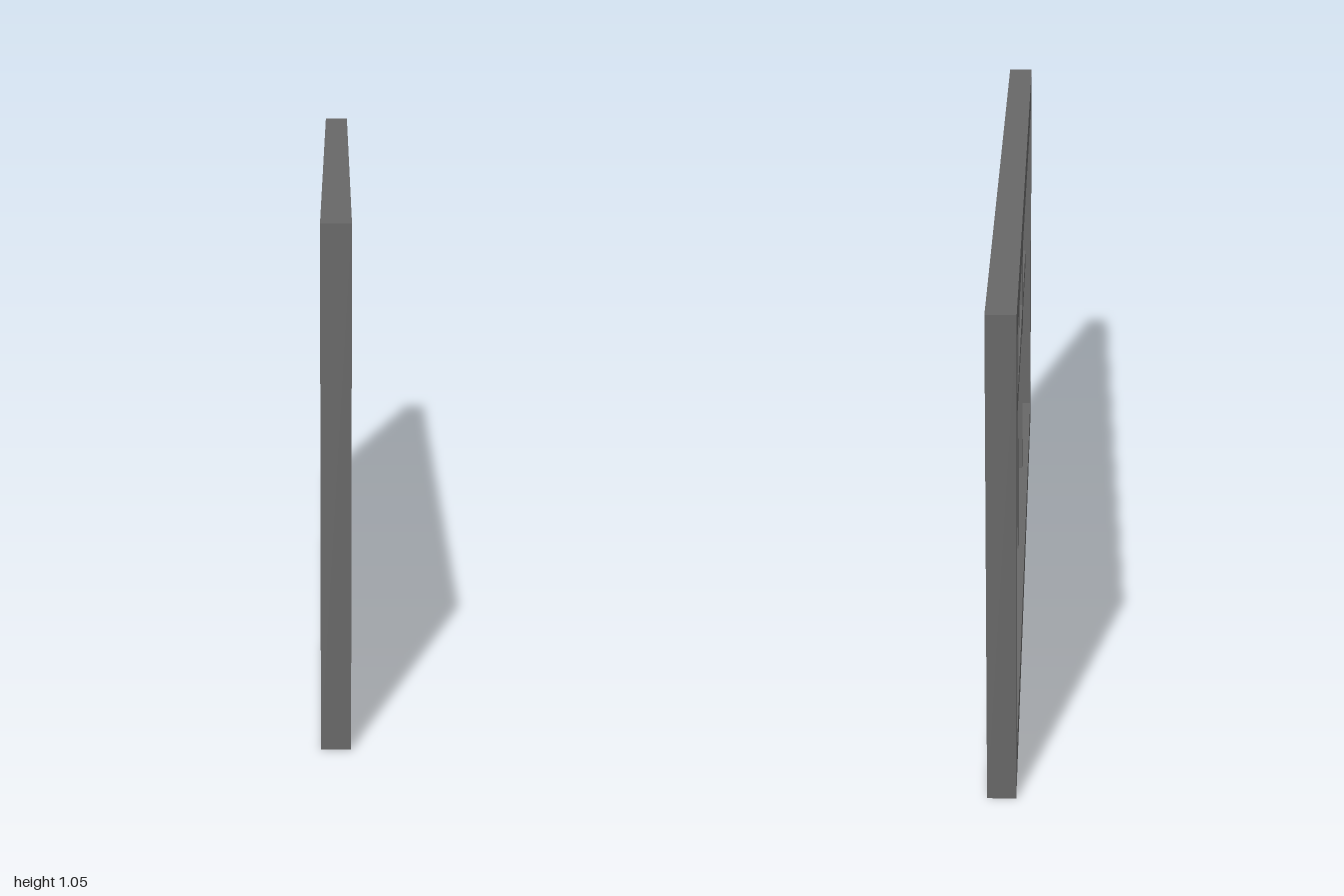
import * as THREE from 'three';

const HEIGHT = 1.055;
const FRAME_DEPTH = 0.06;
const BAR_DEPTH = 0.03;
const BAR_WIDTH = 0.045;
const PANE_DEPTH = 0.006;
// Opening inside the frame
const Z_IN = 0.928, Y_LOW = 0.077, Y_HIGH = 0.979;
const Y_BAR = 0.526;
const Z_BARS = [0.49, 0.004, -0.472];

export function createModel() {
  const frameGrey = new THREE.MeshStandardMaterial({ color: 0x686868 });
  frameGrey.name = 'frameGrey';
  const paneGrey = new THREE.MeshStandardMaterial({ color: 0xbdbdbd });
  paneGrey.name = 'paneGrey';

  const model = new THREE.Group();
  model.name = 'windowPanel';

  // Box spanning a y and z range, centred on x = 0
  function slab(name, depth, y0, y1, z0, z1, material, parent) {
    const mesh = new THREE.Mesh(new THREE.BoxGeometry(depth, y1 - y0, z1 - z0), material);
    mesh.position.set(0, (y0 + y1) / 2, (z0 + z1) / 2);
    mesh.name = name;
    parent.add(mesh);
  }

  const rectangle = (path, w, y0, y1) =>
    path.moveTo(-w, y0).lineTo(w, y0).lineTo(w, y1).lineTo(-w, y1).closePath();

  // Outer frame: rectangle with one opening, turned to face sideways
  const outline = new THREE.Shape();
  rectangle(outline, 1, 0, HEIGHT);
  const opening = new THREE.Path();
  rectangle(opening, Z_IN, Y_LOW, Y_HIGH);
  outline.holes.push(opening);
  const frameGeometry = new THREE.ExtrudeGeometry(outline, { depth: FRAME_DEPTH, bevelEnabled: false });
  frameGeometry.translate(0, 0, -FRAME_DEPTH / 2).rotateY(Math.PI / 2);
  const frame = new THREE.Mesh(frameGeometry, frameGrey);
  frame.name = 'frame';
  model.add(frame);

  // Glazing bars: one full crossbar, uprights split above and below it
  const bars = new THREE.Group();
  bars.name = 'glazingBars';
  model.add(bars);
  const half = BAR_WIDTH / 2;
  slab('crossbar', BAR_DEPTH, Y_BAR - half, Y_BAR + half, -Z_IN, Z_IN, frameGrey, bars);
  for (const z of Z_BARS) {
    slab('lowerUpright', BAR_DEPTH, Y_LOW, Y_BAR - half, z - half, z + half, frameGrey, bars);
    slab('upperUpright', BAR_DEPTH, Y_BAR + half, Y_HIGH, z - half, z + half, frameGrey, bars);
  }

  // Single thin pane behind the bars
  slab('pane', PANE_DEPTH, Y_LOW, Y_HIGH, -Z_IN, Z_IN, paneGrey, model);

  return model;
}
